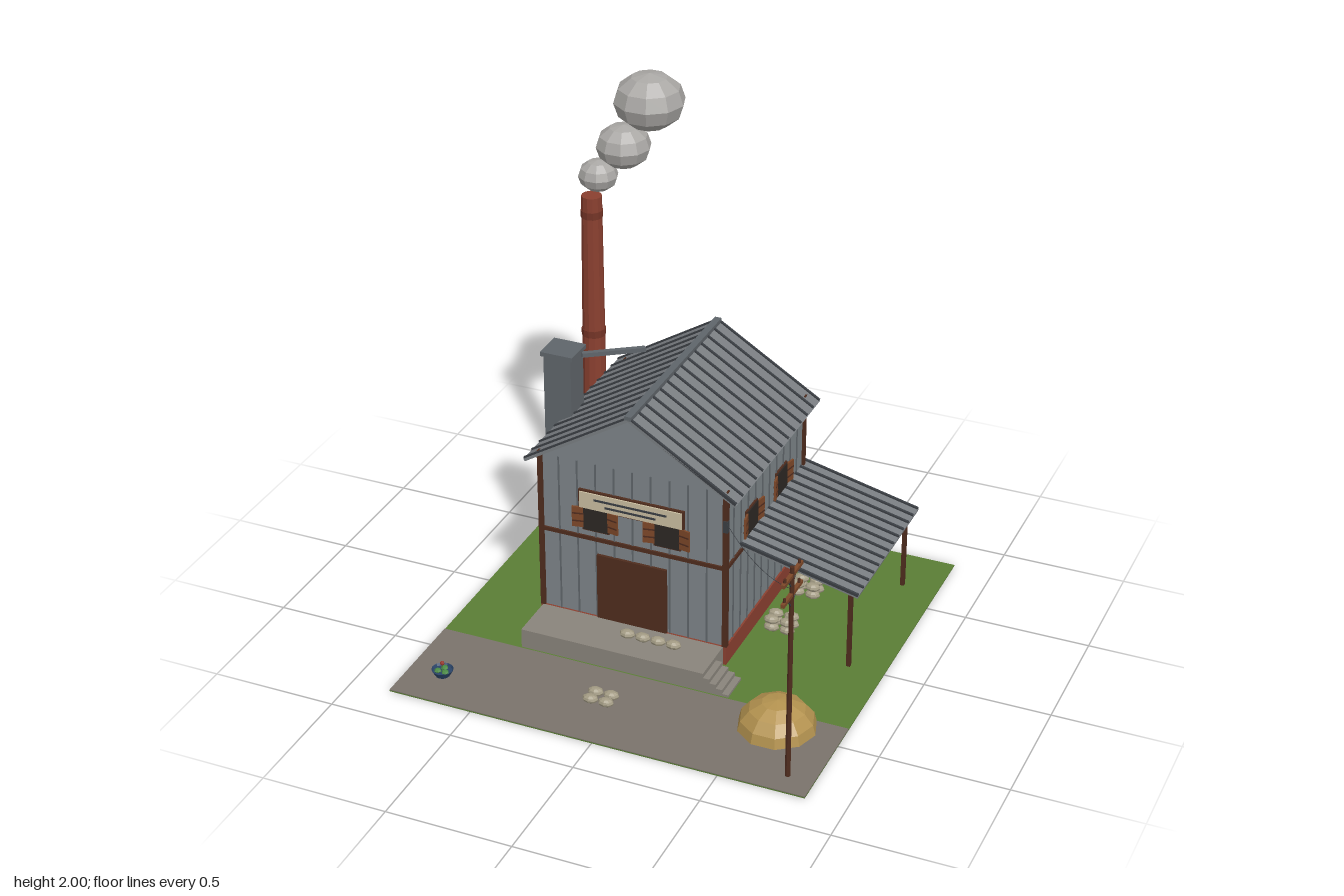
import * as THREE from 'three';

export function createModel() {
  const root = new THREE.Group();
  const mats = {};
  const mat = (color) => (mats[color] ??= new THREE.MeshStandardMaterial({ color, flatShading: true, side: THREE.DoubleSide }));
  const C = {
    grass: 0x5a7d35, road: 0x7a736b, wall: 0x7d8488, roof: 0x7a7e82, dark: 0x3a3e43, brown: 0x4f2c1e,
    shutter: 0x7c4728, pane: 0x2c2724, brick: 0x8a4030, stone: 0x89847b, smoke: 0xaaa8a5, hay: 0xb3924f,
    sack: 0xa39b84, cream: 0xc9bda0, metal: 0x5f656a, bowl: 0x2a4468, leaf: 0x4a8a45, red: 0x9a3a30,
  };
  const add = (name, geo, color, x = 0, y = 0, z = 0, parent = root) => {
    const m = new THREE.Mesh(geo, mat(color));
    m.name = name;
    m.position.set(x, y, z);
    parent.add(m);
    return m;
  };
  // Box given by its lower and upper corner
  const box = (name, color, x0, x1, y0, y1, z0, z1, parent = root) =>
    add(name, new THREE.BoxGeometry(x1 - x0, y1 - y0, z1 - z0), color, (x0 + x1) / 2, (y0 + y1) / 2, (z0 + z1) / 2, parent);
  // Box running from point a to point b
  const beam = (name, color, a, b, w, h, parent = root) => {
    const p = new THREE.Vector3(...a), q = new THREE.Vector3(...b);
    const m = add(name, new THREE.BoxGeometry(w, h, p.distanceTo(q)), color, 0, 0, 0, parent);
    m.position.copy(p).lerp(q, 0.5);
    m.lookAt(q);
    return m;
  };
  const group = (name, parent = root) => {
    const g = new THREE.Group();
    g.name = name;
    parent.add(g);
    return g;
  };

  // Ground
  box('grass', C.grass, -0.84, 0.84, 0, 0.005, -0.84, 0.84);
  box('road', C.road, -0.84, 0.84, 0.002, 0.008, 0.39, 0.84);

  // Main building
  const X0 = -0.51, X1 = 0.255, Z0 = -0.62, Z1 = 0.175, MX = -0.1275, BASE = 0.085;
  box('brickBase', C.brick, X0 - 0.008, X1 + 0.008, 0.001, BASE, Z0 - 0.008, Z1 + 0.008);
  const gable = new THREE.Shape([[X0, BASE], [X1, BASE], [X1, 0.763], [MX, 1.0], [X0, 0.763]].map((p) => new THREE.Vector2(...p)));
  add('walls', new THREE.ExtrudeGeometry(gable, { depth: Z1 - Z0, bevelEnabled: false }), C.wall, 0, 0, Z0);

  // Wall battens, belt and corner posts
  const trim = group('wallTrim');
  for (let i = 1; i < 10; i++) {
    const x = X0 + (i * (X1 - X0)) / 10;
    for (const z of [Z0, Z1]) box('batten', C.metal, x - 0.003, x + 0.003, BASE, 0.765, z - 0.004, z + 0.004, trim);
  }
  for (let i = 1; i < 11; i++) {
    const z = Z0 + (i * (Z1 - Z0)) / 11;
    for (const x of [X0, X1]) box('batten', C.metal, x - 0.004, x + 0.004, BASE, 0.755, z - 0.003, z + 0.003, trim);
  }
  for (const z of [Z0, Z1]) box('belt', C.brown, X0, X1, 0.427, 0.443, z - 0.008, z + 0.008, trim);
  for (const x of [X0, X1]) {
    box('belt', C.brown, x - 0.008, x + 0.008, 0.427, 0.443, Z0, Z1, trim);
    for (const z of [Z0, Z1]) box('cornerPost', C.brown, x - 0.01, x + 0.01, BASE, 0.775, z - 0.01, z + 0.01, trim);
  }

  // Ribbed roof sheet from a high to a low edge
  const sheet = (name, a, b, z0, z1, ribs) => {
    const g = group(name);
    const zc = (z0 + z1) / 2;
    beam('sheet', C.roof, [...a, zc], [...b, zc], z1 - z0, 0.012, g);
    for (let i = 0; i < ribs; i++) {
      const z = z0 + 0.005 + (i * (z1 - z0 - 0.01)) / (ribs - 1);
      beam('rib', C.dark, [a[0], a[1] + 0.007, z], [b[0], b[1] + 0.007, z], 0.01, 0.012, g);
    }
  };
  for (const s of [-1, 1]) sheet('roofSide', [MX, 1.006], [MX + s * 0.434, 0.738], -0.66, 0.21, 14);
  box('ridgeCap', C.metal, MX - 0.014, MX + 0.014, 1.004, 1.022, -0.66, 0.21);

  // Side canopy
  sheet('canopyRoof', [X1, 0.458], [0.735, 0.345], -0.655, 0.035, 13);
  for (const z of [-0.62, 0]) box('canopyPost', C.brown, 0.687, 0.703, 0, 0.35, z - 0.008, z + 0.008);

  // Door and sign
  box('door', C.brown, -0.275, 0.015, BASE, 0.37, Z1, Z1 + 0.012);
  box('signFrame', C.brown, -0.348, 0.088, 0.567, 0.648, Z1, Z1 + 0.012);
  box('signBoard', C.cream, -0.342, 0.082, 0.573, 0.642, Z1, Z1 + 0.018);
  box('signStripe', C.dark, -0.28, 0.02, 0.614, 0.622, Z1, Z1 + 0.021);
  box('signStripe', C.dark, -0.235, -0.025, 0.59, 0.598, Z1, Z1 + 0.021);

  // Shuttered windows, built facing +z
  const windowAt = (x, z, turn) => {
    const g = group('window');
    g.position.set(x, 0.525, z);
    g.rotation.y = turn;
    box('frame', C.brown, -0.056, 0.056, -0.055, 0.055, 0, 0.008, g);
    box('pane', C.pane, -0.05, 0.05, -0.05, 0.05, 0, 0.012, g);
    for (const s of [-1, 1]) {
      const h = group('shutter', g);
      h.position.set(s * 0.072, 0, 0.012);
      h.rotation.y = -s * 0.2;
      box('panel', C.shutter, -0.024, 0.024, -0.043, 0.045, -0.004, 0.004, h);
      for (const y of [-0.016, 0.017]) box('slat', C.brown, -0.022, 0.022, y - 0.003, y + 0.003, -0.006, 0.006, h);
    }
  };
  for (const x of [-0.278, 0.018]) {
    windowAt(x, Z1, 0);
    windowAt(x, Z0, Math.PI);
  }
  for (const z of [-0.07, -0.375]) windowAt(X1, z, Math.PI / 2);

  // Loading platform and steps
  box('platform', C.stone, X0, 0.25, 0.001, BASE, Z1, 0.38);
  for (let i = 0; i < 4; i++) box('step', C.stone, 0.25 + i * 0.026, 0.276 + i * 0.026, 0.001, 0.066 - i * 0.017, 0.252, 0.38);

  // Square shaft with cap and arm
  box('shaft', C.metal, -0.625, -0.51, 0, 1.02, -0.218, -0.105);
  box('shaftCap', C.metal, -0.636, -0.5, 1.018, 1.036, -0.226, -0.098);
  beam('shaftArm', C.metal, [-0.51, 0.998, -0.205], [-0.32, 0.977, -0.382], 0.02, 0.018);

  // Brick stack with bands
  const SX = -0.64, SZ = -0.595;
  add('stack', new THREE.CylinderGeometry(0.041, 0.053, 1.485, 12), C.brick, SX, 0.7425, SZ);
  for (const y of [0.45, 0.89, 1.41]) {
    const r = 0.056 - (0.012 * y) / 1.485;
    add('stackBand', new THREE.CylinderGeometry(r, r, 0.03, 12), 0x743426, SX, y, SZ);
  }

  // Smoke puffs
  for (const [x, y, z, r] of [[-0.617, 1.57, -0.61, 0.08], [-0.523, 1.697, -0.645, 0.11], [-0.428, 1.887, -0.68, 0.142]]) {
    add('smokePuff', new THREE.SphereGeometry(r, 10, 6), C.smoke, x, y, z).scale.y = 0.8;
  }

  // Hay mound
  add('hayMound', new THREE.SphereGeometry(0.154, 10, 4, 0, Math.PI * 2, 0, Math.PI / 2), C.hay, 0.59, 0.001, 0.478).scale.y = 0.81;

  // Sacks
  const sacks = group('sacks');
  const sack = (x, y, z) => add('sack', new THREE.SphereGeometry(0.032, 8, 6), C.sack, x, y, z, sacks).scale.set(1, 0.55, 0.75);
  for (let i = 0; i < 4; i++) sack(-0.11 + i * 0.064, 0.105, 0.272);
  for (const x of [-0.11, -0.046]) for (const z of [0.563, 0.612]) sack(x, 0.024, z);
  for (const zc of [-0.13, -0.407])
    for (const x of [0.335, 0.4]) for (const dz of [-0.024, 0.024]) for (const y of [0.024, 0.058]) sack(x, y, zc + dz);

  // Planter bowl
  const pot = group('planter');
  pot.position.set(-0.7, 0.006, 0.675);
  add('bowl', new THREE.CylinderGeometry(0.043, 0.026, 0.03, 12, 1, true), C.bowl, 0, 0.015, 0, pot);
  add('soil', new THREE.CylinderGeometry(0.038, 0.026, 0.02, 12), C.bowl, 0, 0.011, 0, pot);
  for (let i = 0; i < 3; i++) {
    const a = (i * Math.PI * 2) / 3 + 0.5;
    add('leaf', new THREE.SphereGeometry(0.015, 6, 4), C.leaf, Math.cos(a) * 0.018, 0.024, Math.sin(a) * 0.018, pot).scale.y = 0.6;
  }
  add('stem', new THREE.CylinderGeometry(0.002, 0.002, 0.035, 5), C.leaf, 0, 0.038, 0, pot);
  add('bud', new THREE.SphereGeometry(0.009, 6, 4), C.red, 0, 0.056, 0, pot);

  // Utility pole with cross arms, braces and a slack wire
  const PX = 0.737, PZ = 0.745;
  add('pole', new THREE.CylinderGeometry(0.009, 0.011, 0.9, 8), C.brown, PX, 0.45, PZ);
  for (const y of [0.868, 0.788]) {
    box('crossArm', C.shutter, PX - 0.007, PX + 0.007, y - 0.007, y + 0.007, PZ - 0.09, PZ + 0.09);
    for (const s of [-1, 1]) {
      add('insulator', new THREE.CylinderGeometry(0.005, 0.006, 0.016, 6), C.brown, PX, y + 0.014, PZ + s * 0.07);
      beam('brace', C.dark, [PX, y - 0.006, PZ + s * 0.04], [PX, y - 0.055, PZ], 0.004, 0.004);
    }
  }
  const wire = new THREE.QuadraticBezierCurve3(
    new THREE.Vector3(PX, 0.8, PZ - 0.01), new THREE.Vector3(0.5, 0.625, 0.46), new THREE.Vector3(X1, 0.645, Z1 + 0.005));
  add('wire', new THREE.TubeGeometry(wire, 20, 0.0012, 4), C.dark);
  box('wireBracket', C.dark, X1 - 0.006, X1 + 0.012, 0.6, 0.65, Z1 - 0.004, Z1 + 0.014);

  return root;
}
